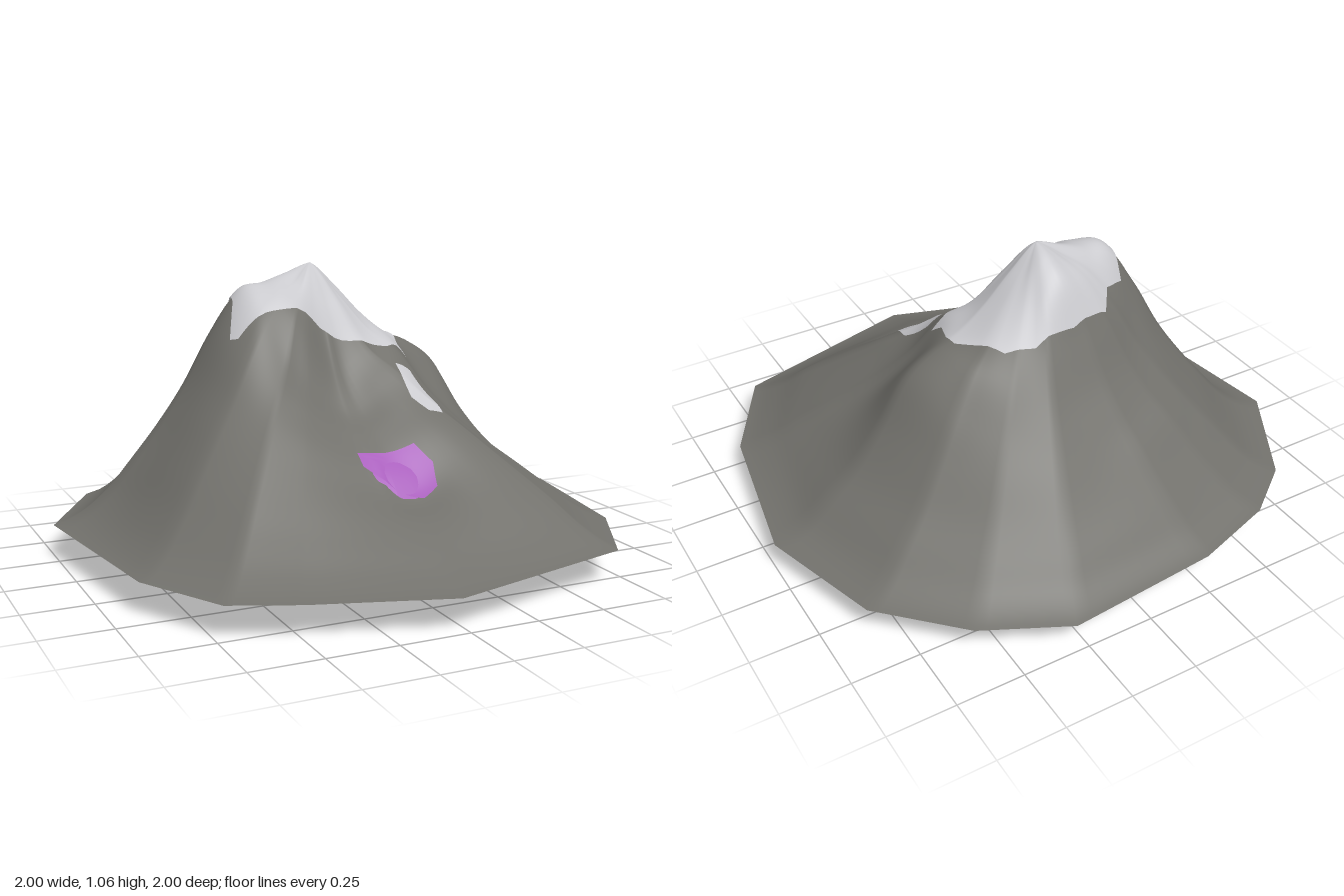
import * as THREE from 'three';

const material = (name, color) => {
  const m = new THREE.MeshStandardMaterial({ color, side: THREE.DoubleSide });
  m.name = name;
  return m;
};

const PEAK = [-0.03, -0.18];
const PEAK_Y = 1.05;
const BASE_Y = 0.12;

// Foot of the mountain, as x, z corners
const FOOT = [[0.3, -1], [0.6, -0.85], [0.86, -0.59], [1, -0.14], [0.9, 0.45], [0.7, 0.8], [-0.03, 1],
  [-0.5, 0.85], [-0.73, 0.75], [-0.9, 0.43], [-1, -0.32], [-0.78, -0.7], [-0.58, -0.85], [-0.27, -0.95]];

// Slope heights every 30 degrees from +x towards +z, at tenths of the way from peak to foot
const SLOPES = [
  [0.96, 0.855, 0.775, 0.74, 0.66, 0.49, 0.35, 0.25, 0.16],
  [0.93, 0.81, 0.74, 0.60, 0.49, 0.40, 0.32, 0.24, 0.165],
  [0.91, 0.74, 0.65, 0.575, 0.51, 0.43, 0.35, 0.27, 0.18],
  [0.90, 0.69, 0.555, 0.485, 0.42, 0.34, 0.28, 0.22, 0.16],
  [0.95, 0.845, 0.69, 0.60, 0.52, 0.43, 0.34, 0.25, 0.17],
  [0.985, 0.955, 0.89, 0.77, 0.63, 0.51, 0.39, 0.27, 0.175],
  [1.015, 0.985, 0.965, 0.83, 0.64, 0.49, 0.36, 0.24, 0.16],
  [1.0, 0.94, 0.83, 0.68, 0.56, 0.45, 0.35, 0.25, 0.165],
  [1.01, 0.94, 0.80, 0.64, 0.52, 0.43, 0.33, 0.24, 0.165],
  [1.02, 0.95, 0.78, 0.63, 0.52, 0.42, 0.33, 0.25, 0.165],
  [1.0, 0.90, 0.77, 0.65, 0.54, 0.44, 0.34, 0.25, 0.165],
  [0.97, 0.88, 0.79, 0.71, 0.59, 0.46, 0.34, 0.25, 0.165],
].map((row) => [PEAK_Y, ...row, BASE_Y]);

const spline = (a, b, c, d, u) =>
  b + 0.5 * u * (c - a + u * (2 * a - 5 * b + 4 * c - d + u * (3 * (b - c) + d - a)));

function slopeHeight(row, t) {
  const s = Math.min(t, 1) * 10, i = Math.min(Math.floor(s), 9);
  const at = (k) => row[Math.max(0, Math.min(10, k))];
  return spline(at(i - 1), at(i), at(i + 1), at(i + 2), s - i);
}

// Distance from the peak to the foot along a direction
function footDistance(dx, dz) {
  for (let i = 0; i < FOOT.length; i++) {
    const [ax, az] = FOOT[i], [bx, bz] = FOOT[(i + 1) % FOOT.length];
    const ex = bx - ax, ez = bz - az, px = ax - PEAK[0], pz = az - PEAK[1];
    const det = dx * ez - dz * ex;
    if (Math.abs(det) < 1e-9) continue;
    const s = (px * ez - pz * ex) / det, u = (px * dz - pz * dx) / det;
    if (s > 0 && u >= -1e-6 && u <= 1 + 1e-6) return s;
  }
  return 1;
}

function height(x, z) {
  const dx = x - PEAK[0], dz = z - PEAK[1], r = Math.hypot(dx, dz);
  if (r < 1e-6) return PEAK_Y;
  const t = r / footDistance(dx / r, dz / r);
  const a = (Math.atan2(dz, dx) / (Math.PI / 6) + 12) % 12, i = Math.floor(a);
  const at = (k) => slopeHeight(SLOPES[(i + k + 12) % 12], t);
  // Shallow hollow around the front outcrop
  const hollow = 0.05 * Math.exp(-(((x - 0.07) / 0.15) ** 2) - ((z - 0.49) / 0.13) ** 2);
  return spline(at(-1), at(0), at(1), at(2), a - i) - hollow;
}

// Fills an outline with rings around a centre and lays it on the slope
function drape(outline, [cx, cz], rings, split, lift) {
  const edge = outline.flatMap(([ax, az], i) => {
    const [bx, bz] = outline[(i + 1) % outline.length];
    return Array.from({ length: split }, (_, k) => [ax + (bx - ax) * k / split, az + (bz - az) * k / split]);
  });
  const n = edge.length, pos = [cx, height(cx, cz) + lift, cz], idx = [];
  for (let j = 1; j <= rings; j++) {
    edge.forEach(([ex, ez], k) => {
      const x = cx + (ex - cx) * j / rings, z = cz + (ez - cz) * j / rings;
      pos.push(x, height(x, z) + lift, z);
      const k2 = (k + 1) % n, o = 1 + (j - 1) * n, p = o - n;
      if (j === 1) idx.push(0, o + k2, o + k);
      else idx.push(p + k, p + k2, o + k, p + k2, o + k2, o + k);
    });
  }
  const g = new THREE.BufferGeometry();
  g.setAttribute('position', new THREE.Float32BufferAttribute(pos, 3));
  g.setIndex(idx);
  g.computeVertexNormals();
  return g;
}

// Nested dome from radius and height pairs, bulging towards four corners turned by an angle
function dome(profile, bulge, turn) {
  const curve = new THREE.SplineCurve(profile.map(([r, y]) => new THREE.Vector2(r, y)));
  const g = new THREE.LatheGeometry(curve.getPoints(16), 44);
  const p = g.attributes.position;
  for (let i = 0; i < p.count; i++) {
    const a = Math.atan2(p.getZ(i), p.getX(i));
    const k = 1 + bulge * Math.cos(4 * (a - turn)) + 0.006 * Math.sin(7 * a);
    p.setX(i, p.getX(i) * k);
    p.setZ(i, p.getZ(i) * k);
  }
  g.computeVertexNormals();
  return g;
}

// Lumpy flattened boulder, lying along a diagonal
function boulder() {
  const g = new THREE.SphereGeometry(1, 40, 28);
  const p = g.attributes.position, v = new THREE.Vector3();
  for (let i = 0; i < p.count; i++) {
    v.fromBufferAttribute(p, i);
    const k = 1 + 0.06 * Math.sin(5 * v.x + 2 * v.z) * Math.cos(4 * v.y + 1)
      + 0.05 * Math.sin(7 * v.z + 3 * v.y) + 0.03 * Math.sin(11 * v.x - 6 * v.y);
    const x = v.x * k * 0.148;
    p.setXYZ(i, x, 0.085 + Math.max(-0.083, v.y * k * 0.083), v.z * k * 0.22 - x * 0.7);
  }
  g.computeVertexNormals();
  return g;
}

export function createModel() {
  const model = new THREE.Group();
  model.name = 'mountain';
  const rock = material('slope grey', 0x72716c);
  const snow = material('snow grey', 0xc9c9cd);
  const purple = material('purple', 0xa95fbd);
  const green = material('moss green', 0x536a2f);
  const orange = material('orange', 0xcc8636);
  const add = (name, geometry, mat) => {
    const mesh = new THREE.Mesh(geometry, mat);
    mesh.name = name;
    model.add(mesh);
  };

  add('slopes', drape(FOOT, PEAK, 60, 9, 0), rock);

  // Snow on the summit and on the front spur
  add('snowCap', drape([[-0.4, -0.05], [-0.35, -0.15], [-0.33, -0.27], [-0.25, -0.3], [-0.2, -0.37], [-0.05, -0.4],
    [0.1, -0.4], [0.2, -0.36], [0.31, -0.21], [0.31, -0.15], [0.28, -0.06], [0.29, 0], [0.25, -0.01], [0.2, 0.01],
    [0.05, 0], [-0.12, -0.02], [-0.3, -0.02], [-0.38, -0.02]], PEAK, 26, 6, 0.009), snow);
  add('snowPatch', drape([[0.2, 0.08], [0.26, 0.08], [0.3, 0.2], [0.29, 0.28], [0.24, 0.27], [0.2, 0.21]],
    [0.25, 0.18], 10, 6, 0.008), snow);

  // Inner layer showing through the front slope
  add('purpleOutcrop', drape([[-0.09, 0.36], [0.13, 0.36], [0.17, 0.43], [0.15, 0.5], [0.09, 0.52], [0, 0.48],
    [-0.09, 0.41]], [0.05, 0.43], 10, 6, 0.009), purple);

  // Nested layers inside the hollow mountain
  const corner = Math.PI / 4;
  add('purpleLayer', dome([[0.56, 0.23], [0.5, 0.32], [0.4, 0.41], [0.2, 0.5], [0, 0.54]], 0.005, corner), purple);
  add('outerGreenLayer', dome([[0.695, 0.119], [0.6, 0.2], [0.5, 0.29], [0.3, 0.39], [0, 0.46]], 0.025, corner), green);
  add('orangeLayer', dome([[0.565, 0.122], [0.5, 0.21], [0.4, 0.29], [0.2, 0.37], [0, 0.41]], 0.02, corner), orange);
  add('innerGreenLayer', dome([[0.555, 0.14], [0.47, 0.2], [0.38, 0.26], [0.2, 0.33], [0, 0.36]], 0.055, 0.96), green);

  add('boulder', boulder(), snow);
  return model;
}
